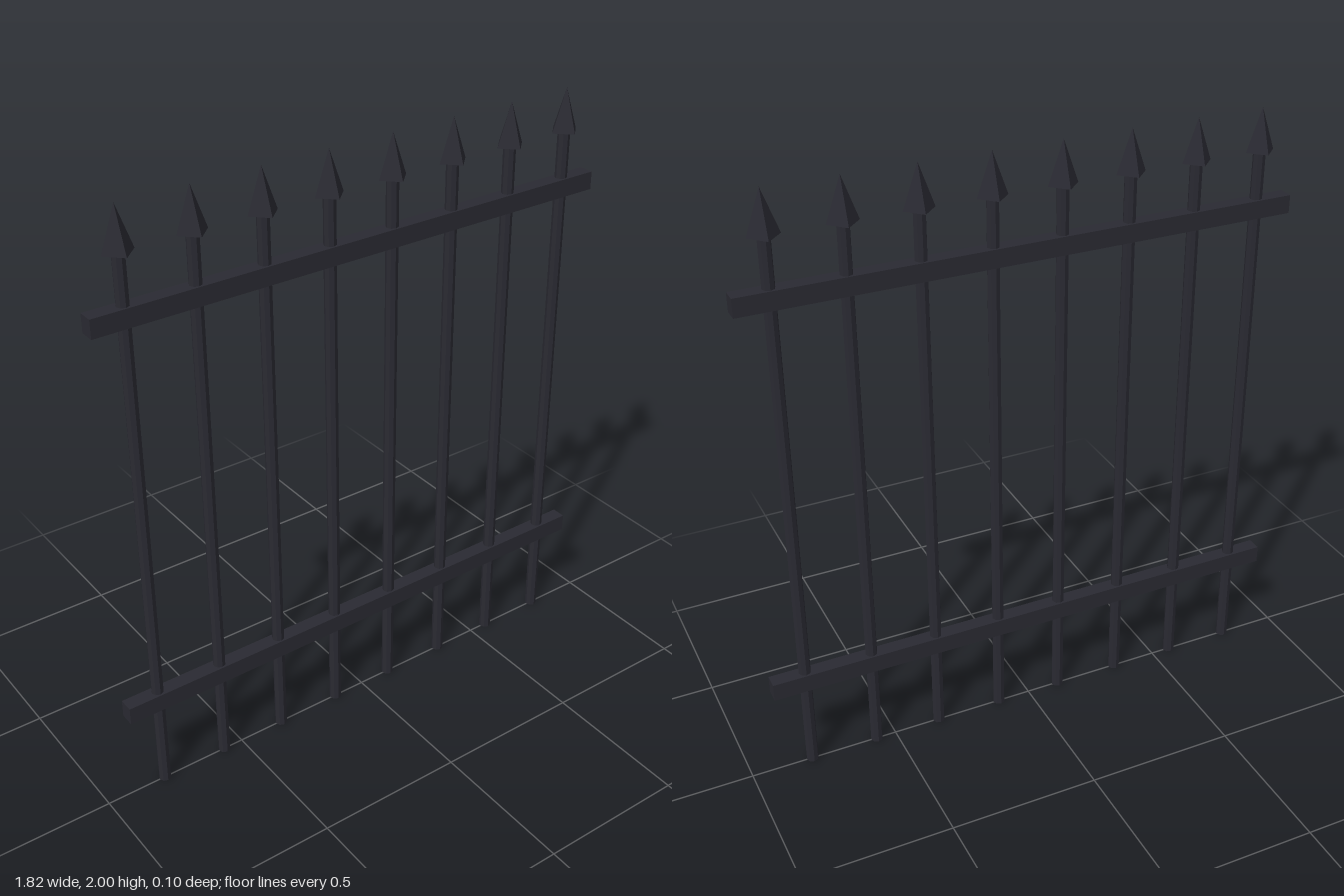
import * as THREE from 'three';

export function createModel() {
  const fence = new THREE.Group();
  fence.name = 'fence';
  const iron = new THREE.MeshStandardMaterial({ color: 0x2a2a32, flatShading: true });
  iron.name = 'dark iron';

  const add = (parent, name, geometry, x, y) => {
    const mesh = new THREE.Mesh(geometry, iron);
    mesh.name = name;
    mesh.position.set(x, y, 0);
    parent.add(mesh);
  };

  // Evenly spaced pickets, each with a four-sided spear tip
  const count = 8, spacing = 0.227, tipBase = 1.86;
  const bar = new THREE.CylinderGeometry(0.02, 0.02, tipBase, 8);
  const tip = new THREE.ConeGeometry(0.05, 2 - tipBase, 4);
  for (let i = 0; i < count; i++) {
    const picket = new THREE.Group();
    picket.name = `picket${i + 1}`;
    picket.position.x = (i - (count - 1) / 2) * spacing;
    add(picket, 'bar', bar, 0, tipBase / 2);
    add(picket, 'spearTip', tip, 0, (2 + tipBase) / 2);
    fence.add(picket);
  }

  // Horizontal rails
  const rail = new THREE.BoxGeometry(1.815, 0.06, 0.05);
  add(fence, 'lowerRail', rail, 0, 0.332);
  add(fence, 'upperRail', rail, 0, 1.675);

  return fence;
}
